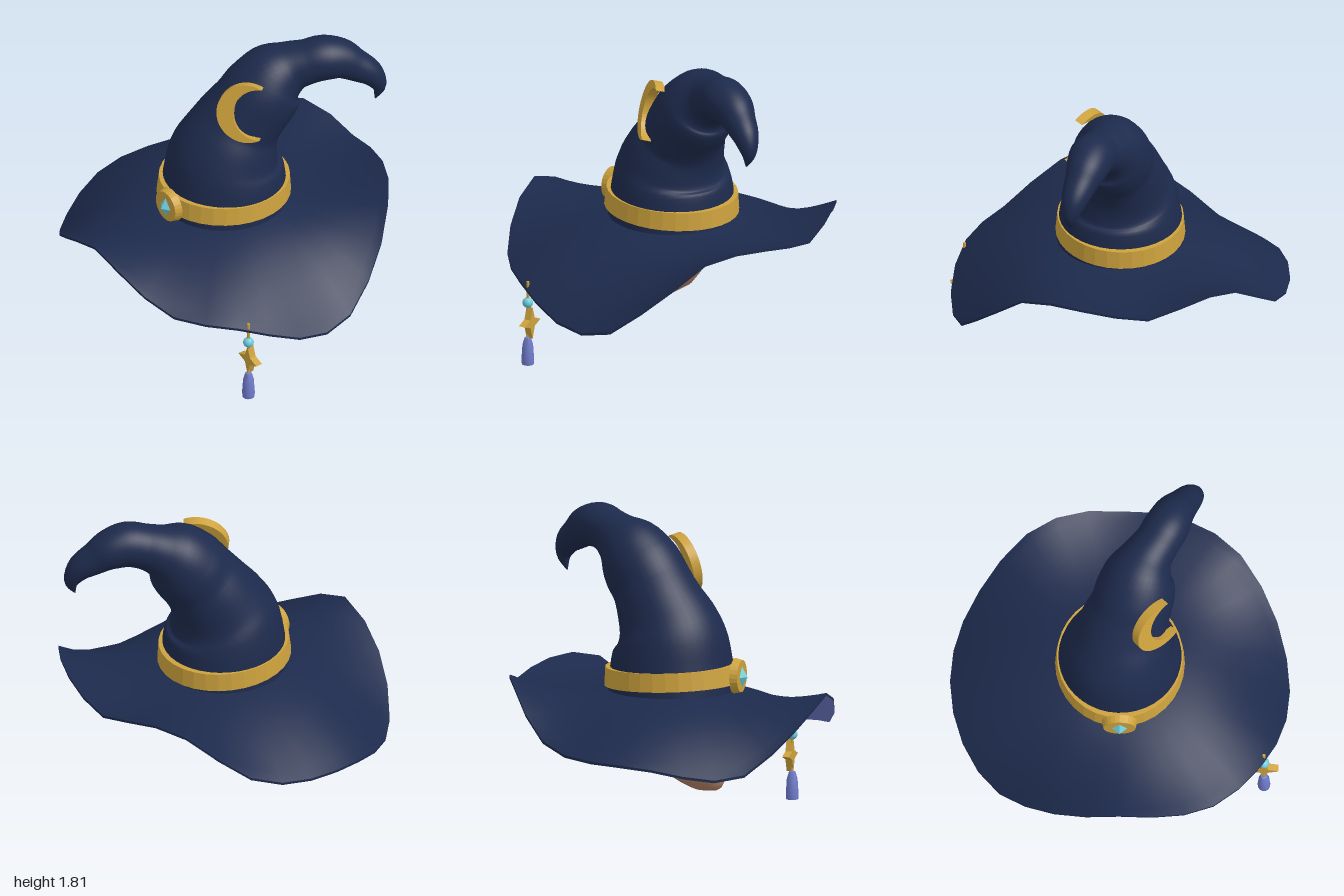
import * as THREE from 'three';
import { toCreasedNormals } from 'three/addons/utils/BufferGeometryUtils.js';

const V = (x, y, z) => new THREE.Vector3(x, y, z);
const mat = (name, color, side = THREE.FrontSide) => {
  const m = new THREE.MeshStandardMaterial({ color, side });
  m.name = name;
  return m;
};

// Skin a stack of closed rings (bottom to top faces outward)
function loft(rings) {
  const n = rings[0].length, idx = [];
  for (let i = 0; i < rings.length - 1; i++)
    for (let j = 0; j < n; j++) {
      const a = i * n + j, b = i * n + (j + 1) % n, c = a + n, d = b + n;
      idx.push(a, c, b, b, c, d);
    }
  const g = new THREE.BufferGeometry().setFromPoints(rings.flat());
  g.setIndex(idx);
  g.computeVertexNormals();
  return g;
}
const ring = (n, fn) => Array.from({ length: n }, (_, j) => fn(j / n * Math.PI * 2, j));
const flat = (g) => toCreasedNormals(g, 0.1);

// Brim edge heights, every 1/32 turn from +x towards +z
const EDGE = [.34, .37, .44, .50, .52, .54, .63, .735, .80, .735, .635, .52, .41, .39, .42, .46,
  .48, .49, .51, .57, .70, .83, .87, .84, .79, .82, .85, .86, .82, .67, .52, .38];
// The brim droops evenly, then its edge waves up or down
const brimRing = (t, under) => ring(32, (a, j) => {
  const r = 0.34 + 0.66 * t;
  const y = 0.785 - 0.12 * t + (EDGE[j] - 0.665) * t * t;
  return V(r * Math.cos(a), y - (under ? 0.042 - 0.027 * t : 0), r * 0.955 * Math.sin(a));
});

// Crown centre line: x, y, z, radius
const CROWN = [
  [0, .77, 0, .378], [0, .92, 0, .363], [0, 1.05, -.003, .338], [.01, 1.15, -.028, .303],
  [.026, 1.27, -.083, .262], [.062, 1.38, -.145, .24], [.09, 1.48, -.215, .235],
  [.115, 1.57, -.29, .207], [.16, 1.625, -.375, .155], [.215, 1.657, -.45, .135],
  [.265, 1.68, -.53, .135], [.31, 1.662, -.62, .122], [.355, 1.615, -.69, .10],
  [.41, 1.55, -.77, .078], [.44, 1.46, -.81, .045], [.435, 1.375, -.79, .005]];
function crownGeometry() {
  const path = new THREE.CatmullRomCurve3(CROWN.map(p => V(p[0], p[1], p[2])), false, 'catmullrom');
  const radius = new THREE.CatmullRomCurve3(CROWN.map(p => V(p[3], 0, 0)), false, 'catmullrom');
  const rings = [];
  for (let i = 0; i <= 60; i++) {
    const t = i / 60, p = path.getPoint(t), T = path.getTangent(t), r = radius.getPoint(t).x;
    const side = V(.875, 0, .484).addScaledVector(T, -V(.875, 0, .484).dot(T)).normalize();
    const out = side.clone().cross(T);
    rings.push(ring(40, a => p.clone().addScaledVector(side, r * Math.cos(a)).addScaledVector(out, r * Math.sin(a))));
  }
  rings.push(ring(40, () => V(.433, 1.37, -.787)));
  return loft(rings);
}

// Head sections: y, half width, front z, back z
const HEAD = [[.18, .001, .22, .2], [.184, .035, .28, .15], [.2, .07, .305, .11], [.23, .104, .318, .05],
  [.28, .143, .328, -.03], [.34, .178, .34, -.12], [.42, .212, .357, -.18], [.5, .235, .36, -.215],
  [.6, .245, .357, -.23], [.7, .245, .35, -.235], [.76, .215, .31, -.2]];
function faceZ(x, y) {
  const i = Math.max(1, HEAD.findIndex(h => h[0] >= y));
  const [a, b] = [HEAD[i - 1], HEAD[i]], k = (y - a[0]) / (b[0] - a[0]);
  const [, w, f, bk] = a.map((v, n) => v + (b[n] - v) * k);
  return (f + bk) / 2 + (f - bk) / 2 * Math.sqrt(Math.max(0, 1 - (x / w) ** 2)) + 0.005;
}
// Thin painted stroke that follows the face; points are x, y, thickness
function stroke(points, s) {
  const mid = new THREE.CatmullRomCurve3(points.map(p => V(p[0], p[1], p[2])));
  const pos = [], idx = [];
  for (let i = 0; i <= 16; i++) {
    const p = mid.getPoint(i / 16), T = mid.getTangent(i / 16);
    const l = Math.hypot(T.x, T.y) || 1;
    for (const e of [-0.5, 0.5]) {
      const x = p.x - T.y / l * p.z * e, y = p.y + T.x / l * p.z * e;
      pos.push(V(s * x, y, faceZ(x, y)));
    }
    if (i < 16) idx.push(2 * i, 2 * i + 2, 2 * i + 1, 2 * i + 1, 2 * i + 2, 2 * i + 3);
  }
  if (s < 0) idx.reverse();
  const g = new THREE.BufferGeometry().setFromPoints(pos);
  g.setIndex(idx);
  g.computeVertexNormals();
  return g;
}

export function createModel() {
  const model = new THREE.Group();
  model.name = 'pointedHat';
  const cloth = mat('navy cloth', 0x1d2a4c), lavender = mat('lavender', 0x707ccb);
  const gold = mat('gold', 0xcda23d), gem = mat('turquoise', 0x6fcddc);
  const skin = mat('skin', 0xb38265), ink = mat('dark lashes', 0x1f1d10, THREE.DoubleSide);
  const add = (name, geometry, material, parent = model) => {
    const m = new THREE.Mesh(geometry, material);
    m.name = name;
    parent.add(m);
    return m;
  };

  // Hat: brim top, rim, lining and bent crown
  const steps = Array.from({ length: 13 }, (_, i) => i / 12);
  add('brimTop', loft(steps.map(t => brimRing(1 - t, false))), cloth);
  add('brimRim', loft([brimRing(1, true), brimRing(1, false)]), cloth);
  add('brimLining', loft([ring(32, () => V(0, .745, 0)), ...steps.map(t => brimRing(t, true))]), lavender);
  add('crown', crownGeometry(), cloth);

  // Band with buckle and gem
  const profile = [[.33, -.055], [.382, -.055], [.372, .055], [.33, .055], [.33, -.055]];
  const band = add('hatBand', flat(new THREE.LatheGeometry(profile.map(p => new THREE.Vector2(...p)), 32)), gold);
  band.position.y = .868;
  band.rotation.x = -.04;
  band.scale.z = 1.06;
  const buckle = add('buckle', flat(new THREE.CylinderGeometry(.095, .105, .045, 24)), gold);
  buckle.rotation.x = Math.PI / 2;
  buckle.position.set(0, .872, .41);
  const jewel = add('buckleGem', flat(new THREE.OctahedronGeometry(1)), gem);
  jewel.scale.set(.052, .07, .04);
  jewel.position.set(0, .868, .428);

  // Crescent ornament
  const moon = new THREE.Shape();
  const horn = 1.08, R = .18, c = .079, r = .159;
  moon.absarc(0, 0, R, horn, Math.PI * 2 - horn, false);
  const inner = Math.atan2(R * Math.sin(horn), R * Math.cos(horn) - c);
  moon.absarc(c, 0, r, Math.PI * 2 - inner, inner, true);
  const moonGeo = new THREE.ExtrudeGeometry(moon, { depth: .055, bevelEnabled: false, curveSegments: 24 });
  moonGeo.translate(0, 0, -.0275);
  const crescent = add('crescent', moonGeo, gold);
  crescent.position.set(.228, 1.49, .002);
  crescent.lookAt(.228 + .64, 1.49 + .25, .002 + .71);

  // Head, ears and closed eyes
  add('head', loft(HEAD.map(([y, w, f, b]) =>
    ring(40, a => V(w * Math.cos(a), y, (f + b) / 2 + (f - b) / 2 * Math.sin(a))))), skin);
  for (const s of [1, -1]) {
    const side = s > 0 ? 'left' : 'right';
    const ear = add(side + 'Ear', new THREE.SphereGeometry(1, 16, 12), skin);
    ear.scale.set(.03, .082, .035);
    ear.position.set(s * .243, .48, .04);
    ear.rotation.z = -s * .1;
    add(side + 'Lash', stroke([[.028, .485, .01], [.055, .52, .028], [.105, .543, .038], [.155, .536, .036], [.2, .496, .014]], s), ink);
    add(side + 'Brow', stroke([[.04, .598, .006], [.085, .607, .012], [.13, .612, .012], [.175, .6, .005]], s), ink);
    add(side + 'LowerLid', stroke([[.06, .462, .003], [.09, .437, .007], [.13, .431, .007], [.165, .445, .003]], s), ink);
  }

  // Hanging charm: cord, bead, star and tassel
  const charm = new THREE.Group();
  charm.name = 'charm';
  charm.position.set(.85, 0, .468);
  model.add(charm);
  add('cord', new THREE.CylinderGeometry(.009, .009, .36, 8), gold, charm).position.y = .34;
  add('bead', new THREE.SphereGeometry(.032, 20, 14), gem, charm).position.y = .387;
  const star = new THREE.Shape(Array.from({ length: 8 }, (_, i) => {
    const a = i * Math.PI / 4, q = i % 2 ? .034 : i % 4 ? .098 : .086;
    return new THREE.Vector2(q * Math.cos(a), q * Math.sin(a));
  }));
  const starGeo = new THREE.ExtrudeGeometry(star, { depth: .042, bevelEnabled: false });
  add('star', starGeo, gold, charm).position.set(0, .263, -.034);
  const tassel = [[.001, 0], [.036, 0], [.038, .03], [.032, .12], [.019, .165], [.001, .172]];
  add('tassel', toCreasedNormals(new THREE.LatheGeometry(tassel.map(p => new THREE.Vector2(...p)), 16), .9), lavender, charm);

  return model;
}
